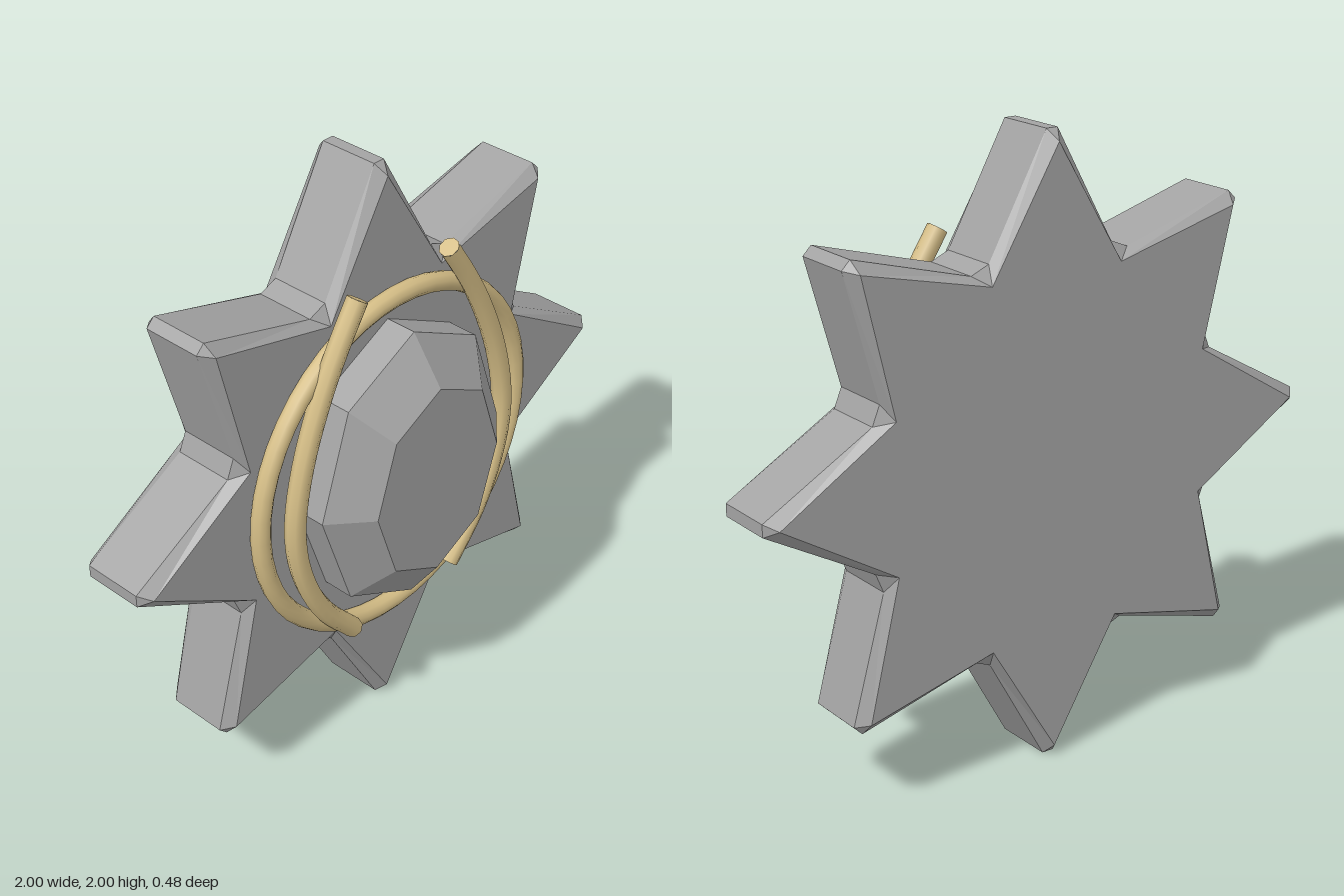
import * as THREE from 'three';

const CY = 1; // height of the star's centre

// Flat-shaded skin over a stack of closed loops (counter-clockwise from the front, ordered back to front)
function loft(loops, capBack = true) {
  const pos = [];
  const tri = (a, b, c) => pos.push(...a, ...b, ...c);
  for (let k = 0; k < loops.length - 1; k++) {
    const A = loops[k], B = loops[k + 1], n = A.length;
    for (let i = 0; i < n; i++) {
      const j = (i + 1) % n;
      tri(A[i], A[j], B[j]);
      tri(A[i], B[j], B[i]);
    }
  }
  const cap = (loop, front) => {
    const c = [0, CY, loop[0][2]];
    loop.forEach((p, i) => {
      const q = loop[(i + 1) % loop.length];
      if (front) tri(c, p, q); else tri(c, q, p);
    });
  };
  cap(loops[loops.length - 1], true);
  if (capBack) cap(loops[0], false);
  const g = new THREE.BufferGeometry();
  g.setAttribute('position', new THREE.Float32BufferAttribute(pos, 3));
  g.computeVertexNormals();
  return g;
}

// Eight-pointed star outline: two corners at each tip and each notch, split by a small angle
function starLoop(tipR, tipSplit, notchR, notchSplit, z) {
  const loop = [];
  for (let i = 0; i < 16; i++) {
    const [r, s] = i % 2 ? [notchR, notchSplit] : [tipR, tipSplit];
    for (const sign of [-1, 1]) {
      const a = i * Math.PI / 8 + sign * s;
      loop.push([r * Math.cos(a), CY + r * Math.sin(a), z]);
    }
  }
  return loop;
}

// Octagonal oval
function ovalLoop(rx, ry, z) {
  return Array.from({ length: 8 }, (_, i) => {
    const a = i * Math.PI / 4;
    return [rx * Math.cos(a), CY + ry * Math.sin(a), z];
  });
}

export function createModel() {
  const group = new THREE.Group();
  const stone = new THREE.MeshStandardMaterial({ color: 0xa3a3a3 });
  stone.name = 'grey stone';
  const gold = new THREE.MeshStandardMaterial({ color: 0xd4bd86 });
  gold.name = 'pale gold';

  const add = (name, geometry, material) => {
    const mesh = new THREE.Mesh(geometry, material);
    mesh.name = name;
    group.add(mesh);
    return mesh;
  };

  // Bevelled star plate
  const face = [0.965, 0, 0.622, 0];
  const rim = [1, 0.02, 0.672, 0.05];
  add('starPlate', loft([
    starLoop(...face, -0.24),
    starLoop(...rim, -0.205),
    starLoop(...rim, -0.005),
    starLoop(...face, 0.03),
  ]), stone);

  // Faceted oval gem
  add('gem', loft([
    ovalLoop(0.395, 0.49, 0.03),
    ovalLoop(0.395, 0.49, 0.135),
    ovalLoop(0.27, 0.337, 0.243),
  ], false), stone);

  // Ring lying on the plate
  const ring = add('ring', new THREE.TorusGeometry(0.573, 0.031, 10, 48), gold);
  ring.position.set(0, CY + 0.006, 0.058);

  // Pair of curved rods clasping the gem
  for (const side of [1, -1]) {
    const points = [
      [0.195, 1.675], [0.275, 1.55], [0.35, 1.41], [0.425, 1.22], [0.465, 1.03],
      [0.46, 0.89], [0.42, 0.75], [0.345, 0.61], [0.225, 0.47],
    ].map(([x, y]) => new THREE.Vector3(side * x, y, 0.094));
    const curve = new THREE.CatmullRomCurve3(points);
    const rodName = side > 0 ? 'leftRod' : 'rightRod';
    add(rodName, new THREE.TubeGeometry(curve, 28, 0.033, 8), gold);
    // Flat end caps
    for (const t of [0, 1]) {
      const cap = add(rodName + (t ? 'LowerCap' : 'UpperCap'), new THREE.CircleGeometry(0.033, 8), gold);
      cap.position.copy(curve.getPointAt(t));
      const dir = curve.getTangentAt(t).multiplyScalar(t ? 1 : -1);
      cap.quaternion.setFromUnitVectors(new THREE.Vector3(0, 0, 1), dir);
    }
  }

  return group;
}
